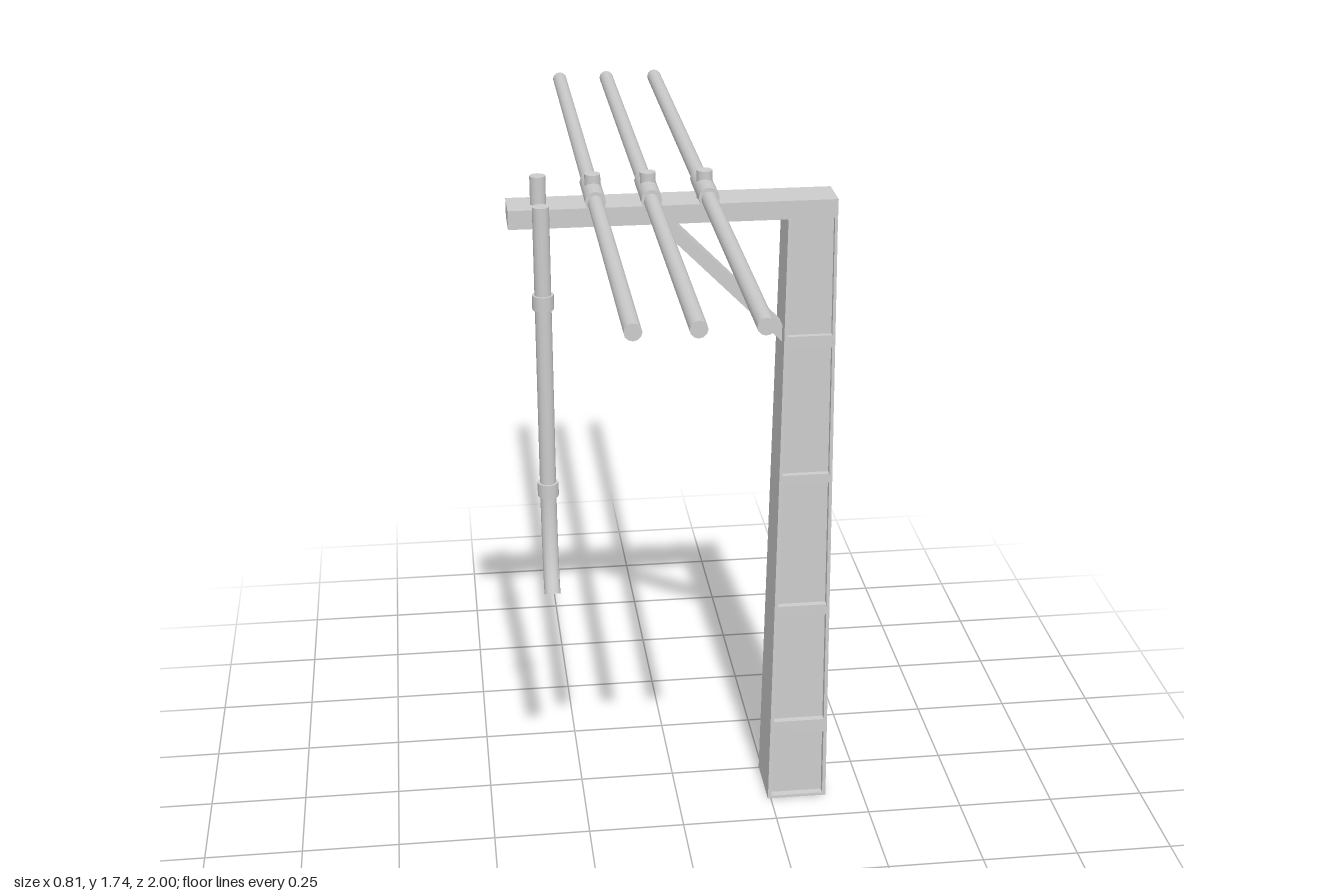
import * as THREE from 'three';

export function createModel() {
  const model = new THREE.Group();
  const smooth = new THREE.MeshStandardMaterial({ color: 0xcccccc });
  const flat = new THREE.MeshStandardMaterial({ color: 0xcccccc, flatShading: true });
  const MID_Z = 0.074;
  const POLE_TOP = 1.625;

  function add(parent, name, geometry, material, x = 0, y = 0, z = 0) {
    const mesh = new THREE.Mesh(geometry, material);
    mesh.name = name;
    mesh.position.set(x, y, z);
    parent.add(mesh);
    return mesh;
  }

  // Block inside the tapering pole: u and v run from -1 to 1 across its width and depth
  function poleBlock(u0, u1, v, y0, y1) {
    const g = new THREE.BoxGeometry(u1 - u0, y1 - y0, 2 * v);
    g.translate((u0 + u1) / 2, (y0 + y1) / 2, 0);
    const p = g.attributes.position;
    for (let i = 0; i < p.count; i++) {
      const y = p.getY(i), t = y / POLE_TOP;
      const x = 0.321 + 0.003 * t + p.getX(i) * (0.079 - 0.019 * t);
      const z = MID_Z + 0.001 + p.getZ(i) * (0.08 - 0.027 * t);
      p.setXYZ(i, x, y, z);
    }
    g.computeVertexNormals();
    return g;
  }

  // Pole: recessed web, two side walls and cross ribs
  const pole = new THREE.Group();
  pole.name = 'pole';
  model.add(pole);
  add(pole, 'poleWeb', poleBlock(-0.9, 0.9, 0.76, 0, POLE_TOP), flat);
  add(pole, 'poleRightWall', poleBlock(-1, -0.88, 1, 0, POLE_TOP), flat);
  add(pole, 'poleLeftWall', poleBlock(0.88, 1, 1, 0, POLE_TOP), flat);
  const ribs = [[0, 0.008], [0.2, 0.238], [0.555, 0.583], [0.93, 0.955], [1.295, 1.327]];
  for (const [y0, y1] of ribs) add(pole, 'poleRib', poleBlock(-0.9, 0.9, 0.995, y0, y1), flat);

  // Crossarm and diagonal brace
  add(model, 'crossarm', new THREE.BoxGeometry(0.79, 0.046, 0.104), flat, -0.01, 1.648, MID_Z - 0.002);
  const brace = new THREE.Shape([
    [-0.065, 1.63], [-0.02, 1.63], [0.275, 1.332], [0.275, 1.288],
  ].map(([x, y]) => new THREE.Vector2(x, y)));
  const braceGeometry = new THREE.ExtrudeGeometry(brace, { depth: 0.05, bevelEnabled: false });
  add(model, 'brace', braceGeometry, flat, 0, 0, MID_Z - 0.025);

  // Long lines with their sleeves and pins
  for (const x of [-0.2, -0.068, 0.068]) {
    const line = add(model, 'line', new THREE.CylinderGeometry(0.019, 0.019, 2, 12), smooth, x, 1.694, 0);
    line.rotation.x = Math.PI / 2;
    const sleeve = add(model, 'sleeve', new THREE.CylinderGeometry(0.025, 0.025, 0.16, 12), smooth, x, 1.697, 0.08);
    sleeve.rotation.x = Math.PI / 2;
  }
  for (const x of [-0.33, -0.2, -0.068, 0.068]) {
    add(model, 'pin', new THREE.CylinderGeometry(0.019, 0.019, 0.08, 16), smooth, x, 1.7, MID_Z);
  }

  // Hanging cable: straight drop, curved tail and collars
  const cable = new THREE.Group();
  cable.name = 'hangingCable';
  cable.position.set(-0.33, 0, 0.172);
  model.add(cable);
  const R = 0.02;
  add(cable, 'cableDrop', new THREE.CylinderGeometry(R, R, 0.74, 12), smooth, 0, 1.325, 0);
  const tail = new THREE.CatmullRomCurve3([
    [0.97, 0], [0.9, 0.004], [0.83, 0.015], [0.765, 0.034], [0.708, 0.062],
  ].map(([y, z]) => new THREE.Vector3(0, y, z)));
  add(cable, 'cableTail', new THREE.TubeGeometry(tail, 14, R, 12, false), smooth);
  const endCap = add(cable, 'cableEnd', new THREE.CircleGeometry(R, 12), smooth, 0, 0.708, 0.062);
  endCap.lookAt(endCap.getWorldPosition(new THREE.Vector3()).add(tail.getTangent(1)));
  for (const y of [1.46, 0.97]) {
    add(cable, 'collar', new THREE.CylinderGeometry(0.026, 0.026, 0.036, 12), smooth, 0, y, 0);
  }

  return model;
}
